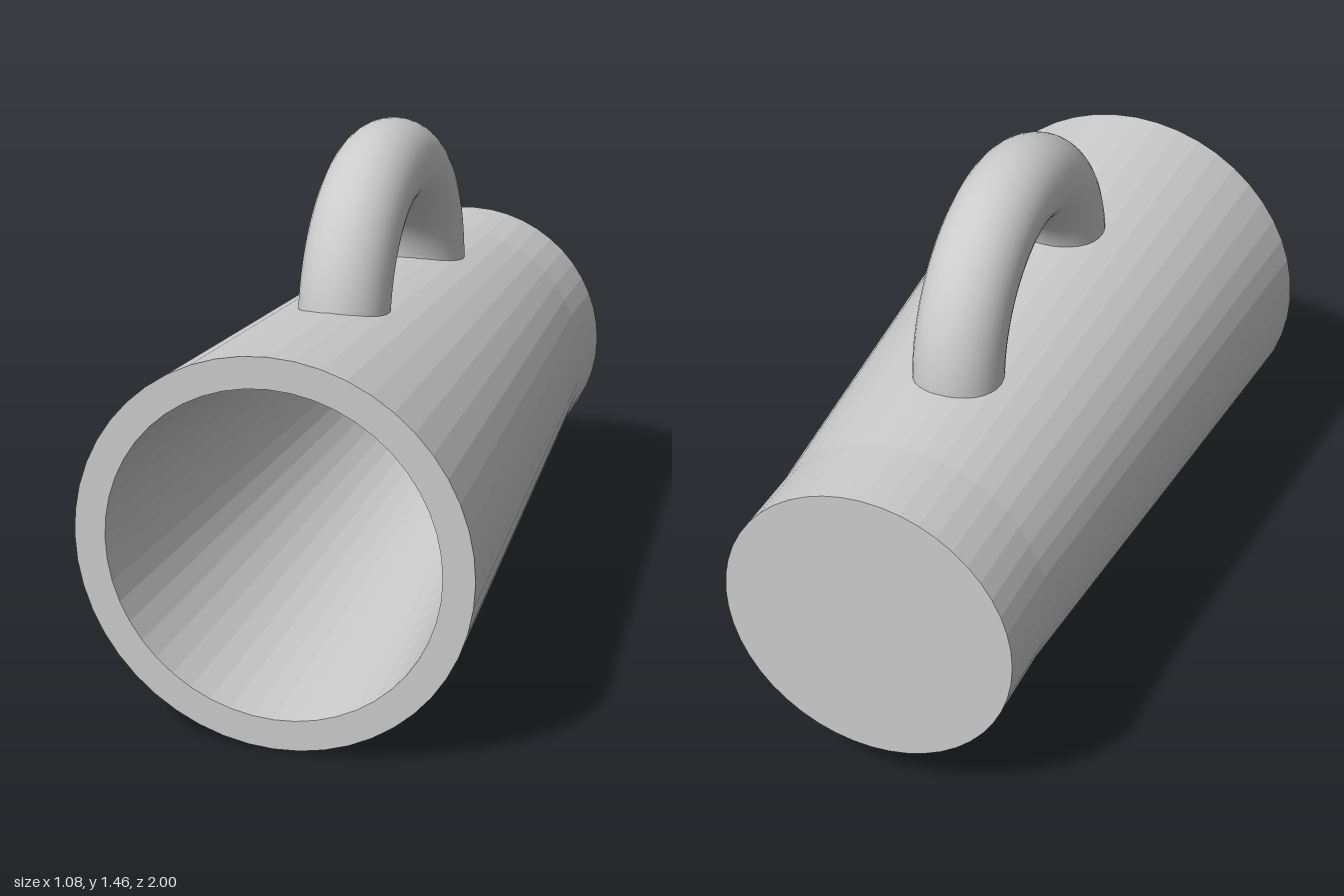
import * as THREE from 'three';

const CENTER_Y = 0.542;

export function createModel() {
  const group = new THREE.Group();

  // Tapered cup lying on its side: closed base at -z, open mouth at +z
  const profile = [
    [0, -1], [0.415, -1], [0.415, -0.75], [0.54, 1],
    [0.455, 1], [0.33, -0.75], [0, -0.75],
  ].map(([r, y]) => new THREE.Vector2(r, y));
  const cup = new THREE.Mesh(
    new THREE.LatheGeometry(profile, 48).rotateX(Math.PI / 2),
    new THREE.MeshStandardMaterial({ color: 0xcccccc, flatShading: true })
  );
  cup.name = 'cup';
  cup.position.y = CENTER_Y;
  group.add(cup);

  // Arched handle, its ends buried in the wall
  const start = 0.08;
  const arch = new THREE.TorusGeometry(0.385, 0.126, 32, 48, Math.PI - start)
    .rotateZ(start)
    .rotateY(-Math.PI / 2);
  const handle = new THREE.Mesh(arch, new THREE.MeshStandardMaterial({ color: 0xcccccc }));
  handle.name = 'handle';
  handle.position.y = 0.949;
  group.add(handle);

  return group;
}
